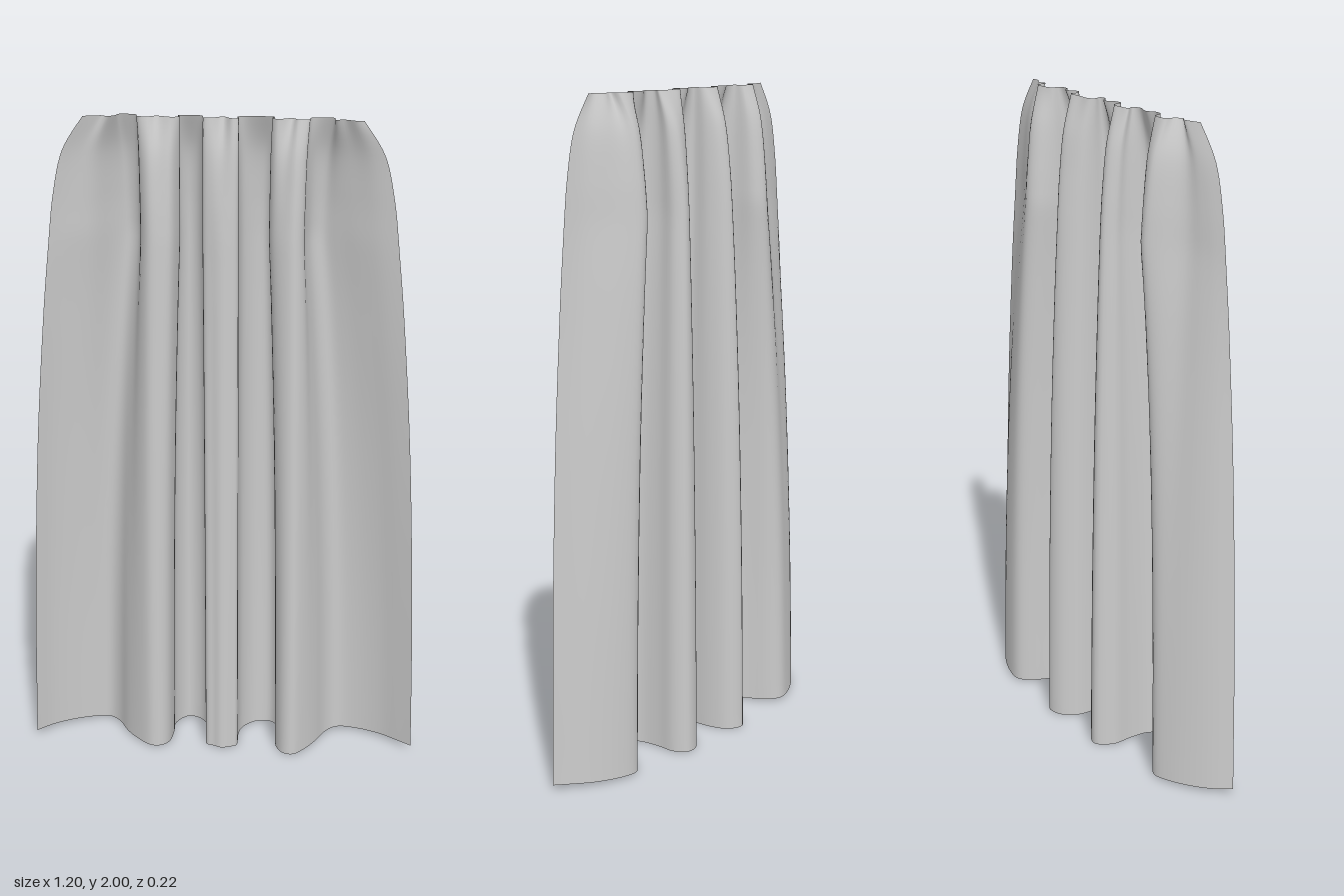
import * as THREE from 'three';

// Matching fold outlines as x, z pairs: gathered heading, upper drape and wide hem.
const HEADING = [
  -0.4, 0.045, -0.37, 0.035, -0.345, 0.03, -0.33, 0.042, -0.31, 0.025, -0.3, 0,
  -0.255, 0.003, -0.245, 0.03, -0.215, 0.035, -0.19, 0.02, -0.15, 0.035, -0.125, 0.025,
  -0.13, 0.005, -0.1, 0, -0.075, 0, -0.06, 0.01, -0.055, 0.035, -0.03, 0.035,
  0, 0.015, 0.025, 0.04, 0.045, 0.035, 0.04, 0.015, 0.055, 0, 0.09, 0,
  0.125, 0, 0.145, 0.005, 0.14, 0.025, 0.16, 0.04, 0.195, 0.02, 0.215, 0.04,
  0.245, 0.035, 0.25, 0.01, 0.28, 0, 0.315, 0.005, 0.32, 0.035, 0.345, 0.03,
  0.375, 0.045, 0.4, 0.045,
];
const UPPER = [
  -0.507, 0.055, -0.475, 0.04, -0.44, 0.028, -0.385, 0.01, -0.325, -0.04, -0.285, -0.06,
  -0.252, -0.035, -0.24, 0.03, -0.215, 0.07, -0.18, 0.075, -0.145, 0.06, -0.13, 0,
  -0.132, -0.04, -0.11, -0.068, -0.08, -0.055, -0.06, -0.01, -0.058, 0.04, -0.03, 0.06,
  0, 0.07, 0.03, 0.065, 0.045, 0.05, 0.046, 0.01, 0.055, -0.03, 0.085, -0.06,
  0.115, -0.068, 0.137, -0.04, 0.132, 0.01, 0.145, 0.05, 0.175, 0.075, 0.21, 0.085,
  0.235, 0.06, 0.237, 0.01, 0.252, -0.04, 0.285, -0.06, 0.33, -0.04, 0.39, -0.005,
  0.45, 0.025, 0.508, 0.045,
];
const HEM = [
  -0.6, 0.06, -0.555, 0.01, -0.5, -0.03, -0.44, -0.06, -0.385, -0.073, -0.345, -0.045,
  -0.31, 0.015, -0.265, 0.065, -0.225, 0.094, -0.19, 0.09, -0.168, 0.06, -0.162, 0,
  -0.162, -0.06, -0.125, -0.108, -0.075, -0.085, -0.055, -0.02, -0.052, 0.06, -0.025, 0.075,
  0, 0.085, 0.03, 0.075, 0.048, 0.06, 0.046, 0, 0.055, -0.05, 0.09, -0.092,
  0.14, -0.1, 0.168, -0.06, 0.166, 0, 0.172, 0.06, 0.195, 0.1, 0.23, 0.108,
  0.265, 0.07, 0.295, 0.02, 0.325, -0.045, 0.365, -0.078, 0.43, -0.067, 0.5, -0.035,
  0.555, 0.005, 0.6, 0.04,
];

// Height, then the blend of outlines there: 0 heading, 1 upper drape, 2 hem.
const DRAPE = [
  [2, 0], [1.9, 0.58], [1.77, 0.86], [1.63, 1.02], [1.4, 1.27], [1, 1.6], [0.5, 1.86], [0, 2],
];

function outline(pairs, columns) {
  const points = [];
  for (let i = 0; i < pairs.length; i += 2) points.push(new THREE.Vector2(pairs[i], pairs[i + 1]));
  return new THREE.SplineCurve(points).getPoints(columns);
}

function drapedCloth(columns, rows) {
  const outlines = [HEADING, UPPER, HEM].map((pairs) => outline(pairs, columns));
  const drape = new THREE.SplineCurve(DRAPE.map((d) => new THREE.Vector2(...d)));
  const positions = [];
  const indices = [];
  const point = new THREE.Vector2();
  for (let r = 0; r <= rows; r++) {
    const { x: height, y: blend } = drape.getPoint(r / rows);
    const from = blend < 1 ? 0 : 1;
    for (let c = 0; c <= columns; c++) {
      point.lerpVectors(outlines[from][c], outlines[from + 1][c], blend - from);
      // The hem lifts slightly towards both side edges.
      const lift = 0.015 * (point.x / 0.6) ** 2 * (1 - height / 2);
      positions.push(point.x, height + lift, point.y);
      if (r < rows && c < columns) {
        const a = r * (columns + 1) + c;
        const b = a + columns + 1;
        indices.push(a, b, a + 1, b, b + 1, a + 1);
      }
    }
  }
  const geometry = new THREE.BufferGeometry();
  geometry.setAttribute('position', new THREE.Float32BufferAttribute(positions, 3));
  geometry.setIndex(indices);
  geometry.computeVertexNormals();
  return geometry;
}

export function createModel() {
  const group = new THREE.Group();
  group.name = 'curtain';
  const material = new THREE.MeshStandardMaterial({ color: 0xcccccc, side: THREE.DoubleSide });
  const cloth = new THREE.Mesh(drapedCloth(148, 42), material);
  cloth.name = 'pleatedCloth';
  group.add(cloth);
  return group;
}
